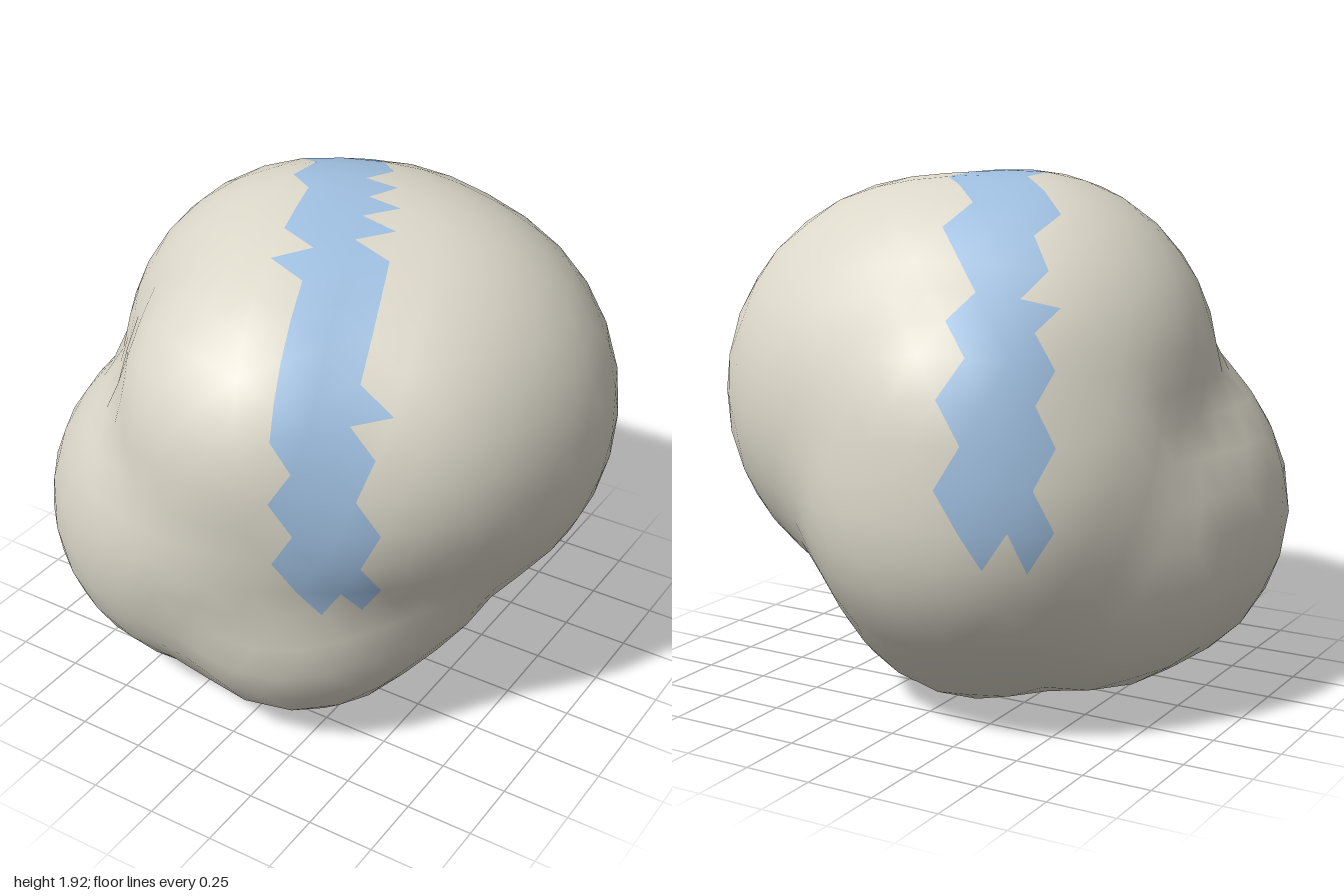
import * as THREE from 'three';
import { mergeVertices } from 'three/addons/utils/BufferGeometryUtils.js';

// Rounded lobes that blend into the boulder: x, y, z, radius
const LOBES = [
  [0.22, 1.10, -0.08, 0.78],  // upper right mass
  [0.30, 1.15, 0.14, 0.64],   // front of the right mass
  [-0.12, 1.20, -0.04, 0.71], // crown
  [0.00, 1.25, 0.20, 0.63],   // slope from crown to brow
  [0.05, 1.30, -0.20, 0.58],  // slope from crown to back
  [-0.35, 0.66, 0.25, 0.66],  // low side bulge
  [-0.40, 0.63, -0.07, 0.58], // rear of the side bulge
  [0.02, 1.23, 0.43, 0.565],  // front brow
  [-0.05, 0.90, 0.42, 0.56],  // front face
  [-0.25, 0.80, 0.35, 0.60],  // front cheek
  [0.22, 1.05, 0.35, 0.54],   // front shoulder
  [0.05, 0.55, 0.35, 0.55],   // front foot
  [0.22, 0.68, 0.20, 0.52],   // right flank above the foot
  [0.10, 0.50, 0.00, 0.50],   // right underside
  [-0.06, 0.57, -0.21, 0.57], // back underside
  [-0.15, 0.84, -0.30, 0.70], // back bulge
  [-0.15, 1.10, -0.45, 0.53], // upper back
];
const CENTRE = new THREE.Vector3(0, 0.96, 0);

// Distance to the blended surface along a direction from the centre
function reach(dir) {
  const sharpness = 36;
  let sum = 0;
  for (const [x, y, z, r] of LOBES) {
    const c = new THREE.Vector3(x, y, z).sub(CENTRE);
    const along = c.dot(dir);
    const exit = along + Math.sqrt(Math.max(0, along * along - c.lengthSq() + r * r));
    sum += Math.exp(sharpness * exit);
  }
  return Math.log(sum) / sharpness;
}

// Slanted band over the top, ending part way down the front and back
function inStripe(p) {
  const tilt = THREE.MathUtils.degToRad(29.5);
  const across = (p.x + 0.01) * Math.cos(tilt) - p.z * Math.sin(tilt);
  return Math.abs(across) < 0.14 && p.y > 0.76;
}

export function createModel() {
  const stone = new THREE.MeshStandardMaterial({ name: 'warm grey stone', color: 0xdbd7c9 });
  const blue = new THREE.MeshStandardMaterial({ name: 'pale blue stripe', color: 0x9fbfe0 });

  // Shared-vertex ball, turned so a corner points up, pushed out to the lobes
  const ball = new THREE.IcosahedronGeometry(1, 7);
  ball.deleteAttribute('normal');
  ball.deleteAttribute('uv');
  ball.rotateZ(-0.5536);
  const geo = mergeVertices(ball, 1e-4);
  const pos = geo.attributes.position;
  const p = new THREE.Vector3();
  for (let i = 0; i < pos.count; i++) {
    p.fromBufferAttribute(pos, i).normalize();
    p.multiplyScalar(reach(p)).add(CENTRE);
    pos.setXYZ(i, p.x, p.y, p.z);
  }
  geo.computeVertexNormals();

  // Sort whole faces into stone and stripe
  const faces = [[], []];
  const index = geo.index.array;
  for (let i = 0; i < index.length; i += 3) {
    const mean = new THREE.Vector3();
    for (let k = 0; k < 3; k++) mean.add(p.fromBufferAttribute(pos, index[i + k]));
    mean.divideScalar(3);
    faces[inStripe(mean) ? 1 : 0].push(index[i], index[i + 1], index[i + 2]);
  }
  geo.setIndex([...faces[0], ...faces[1]]);
  geo.addGroup(0, faces[0].length, 0);
  geo.addGroup(faces[0].length, faces[1].length, 1);

  const boulder = new THREE.Mesh(geo, [stone, blue]);
  boulder.name = 'boulder';
  const model = new THREE.Group();
  model.name = 'stripedBoulder';
  model.add(boulder);
  return model;
}
